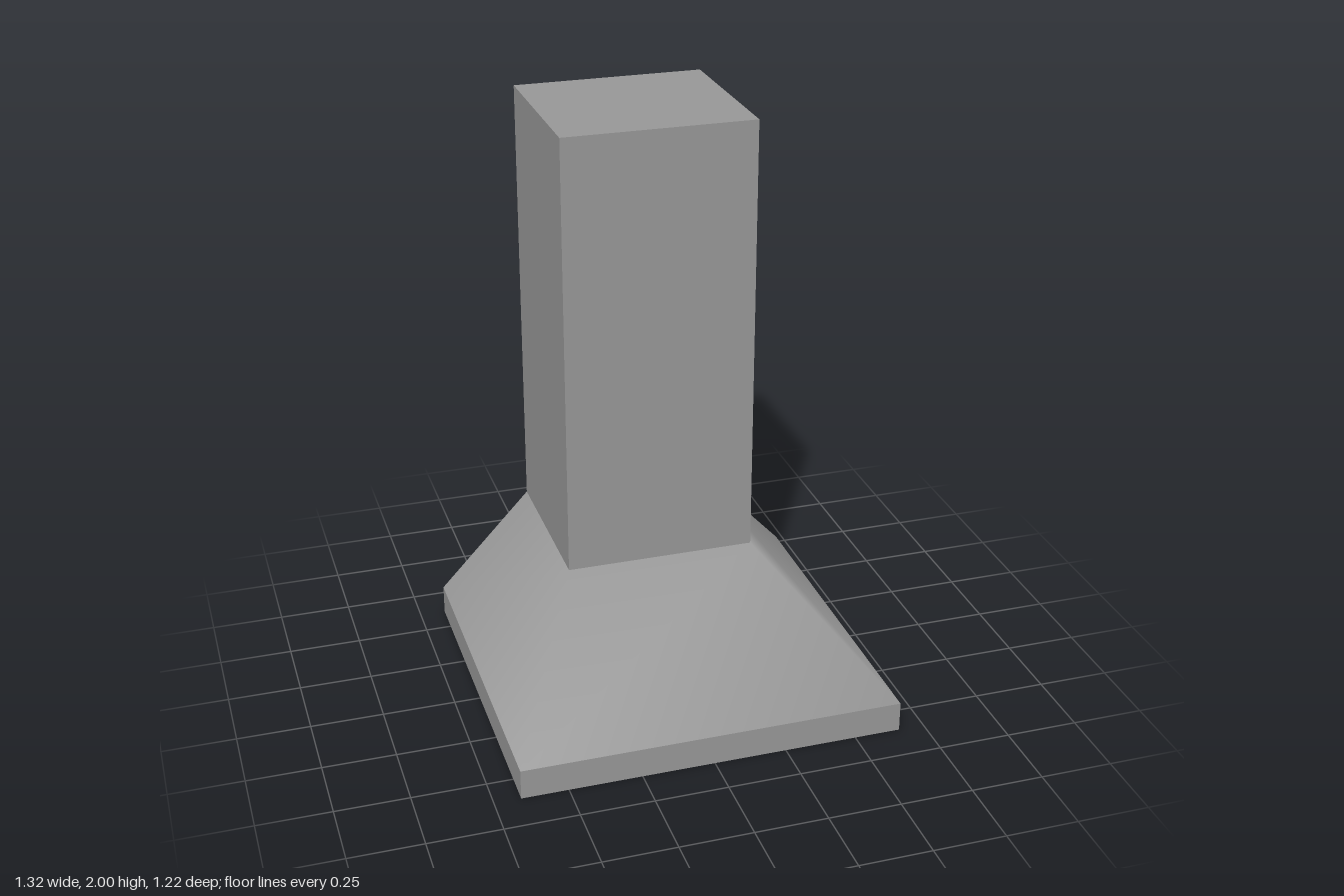
import * as THREE from 'three';

const W = 0.66, D = 0.61;             // half width and half depth of the hood
const RIM = 0.105, NECK = 0.457, TOP = 2; // heights
const FLUE = 0.33;                    // half width of the chimney

export function createModel() {
  const group = new THREE.Group();
  group.name = 'rangeHood';
  const steel = new THREE.MeshStandardMaterial({ color: 0x999999 });
  steel.name = 'brushed grey';

  const add = (name, geometry, x = 0, y = 0, z = 0) => {
    const mesh = new THREE.Mesh(geometry, steel);
    mesh.name = name;
    mesh.position.set(x, y, z);
    group.add(mesh);
  };

  // Rim and chimney, both flush with the wall side
  add('rim', new THREE.BoxGeometry(2 * W, RIM, 2 * D), 0, RIM / 2, 0);
  add('chimney', new THREE.BoxGeometry(2 * FLUE, TOP - NECK, D), 0, (TOP + NECK) / 2, -D / 2);

  // Sloped canopy: left, front and right sides share smooth corners
  const loop = (w, y, front) => [-w, y, -D, -w, y, front, w, y, front, w, y, -D];
  const canopy = new THREE.BufferGeometry();
  canopy.setAttribute('position', new THREE.Float32BufferAttribute(
    [...loop(W, RIM, D), ...loop(FLUE, NECK, 0)], 3));
  const index = [];
  for (let i = 0; i < 3; i++) index.push(i, i + 1, i + 5, i, i + 5, i + 4);
  canopy.setIndex(index);
  canopy.computeVertexNormals();
  add('canopy', canopy);

  // Flat wall side of the canopy
  const back = new THREE.Shape([[-W, RIM], [W, RIM], [FLUE, NECK], [-FLUE, NECK]]
    .map(([x, y]) => new THREE.Vector2(x, y)));
  add('canopyBack', new THREE.ShapeGeometry(back).rotateY(Math.PI), 0, 0, -D);

  return group;
}
